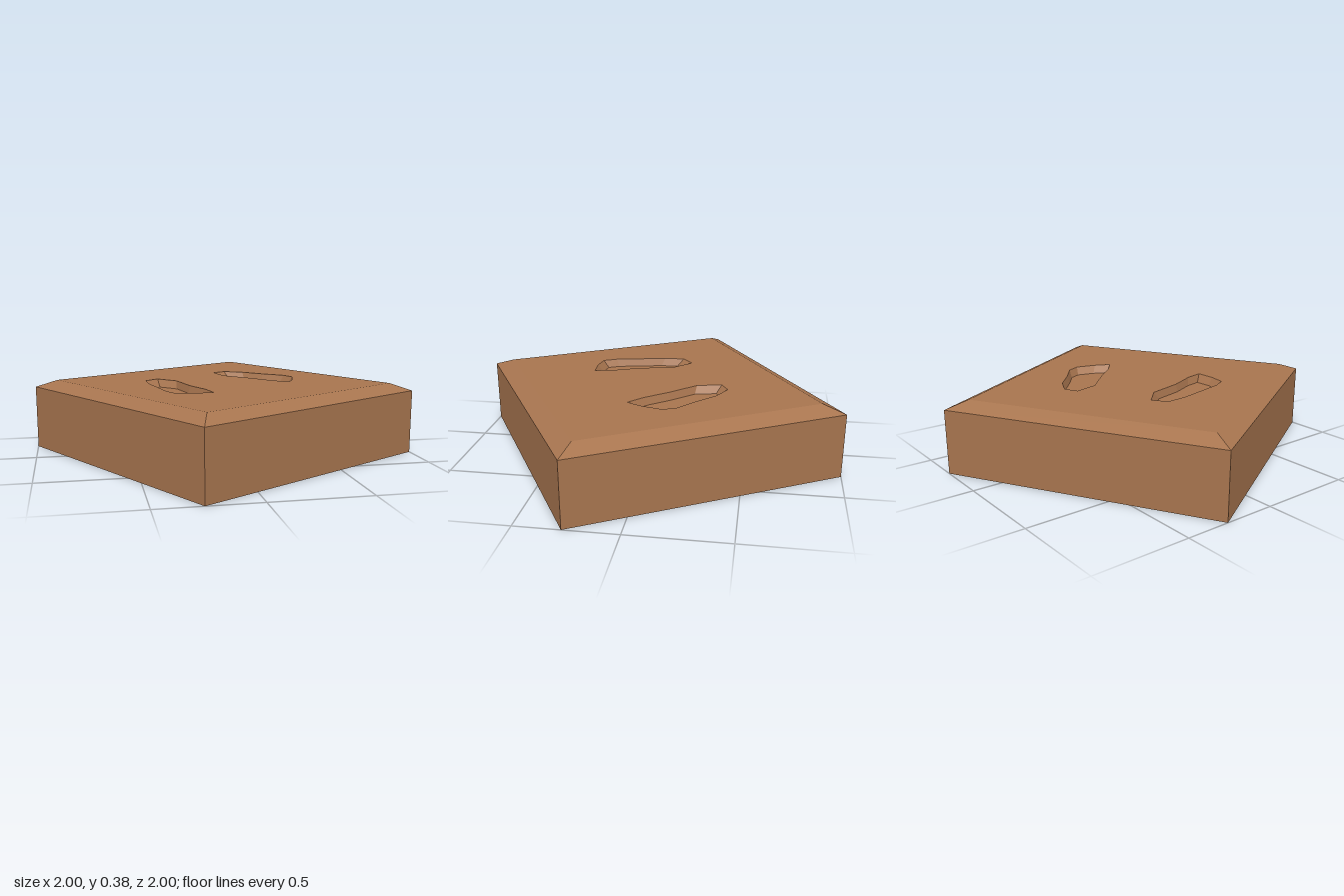
import * as THREE from 'three';

const WALL = 0.34, TOP = 0.38, DEPTH = 0.04;
const RADIUS = Math.hypot(1, 0.27), TURN = Math.atan2(-0.27, 1), INSET = 0.88;

// Footprint outlines as [x, z]
const PRINTS = {
  rightFootprint: [[-0.4, -0.11], [-0.33, -0.165], [-0.235, -0.07], [-0.19, 0.12], [-0.13, 0.26],
    [-0.11, 0.36], [-0.21, 0.365], [-0.3, 0.35], [-0.335, 0.28], [-0.395, 0]],
  leftFootprint: [[0.03, -0.365], [0.1, -0.4], [0.2, -0.35], [0.3, -0.255], [0.405, -0.17],
    [0.435, -0.1], [0.405, 0.005], [0.365, 0.085], [0.285, 0.015], [0.19, -0.1], [0.06, -0.235]],
};

const outline = (pts) => pts.map(([x, z]) => new THREE.Vector2(x, -z));

function shrink(pts, s) {
  const cx = pts.reduce((a, p) => a + p[0], 0) / pts.length;
  const cz = pts.reduce((a, p) => a + p[1], 0) / pts.length;
  return pts.map(([x, z]) => [cx + (x - cx) * s, cz + (z - cz) * s]);
}

// Horizontal flat face at height y
function flat(shape, y) {
  return new THREE.ShapeGeometry(shape).rotateX(-Math.PI / 2).translate(0, y, 0);
}

// Sloping strip joining two outlines
function strip(upper, lower, yUpper, yLower) {
  const v = [];
  upper.forEach((a, i) => {
    const j = (i + 1) % upper.length;
    const b = upper[j], c = lower[i], d = lower[j];
    const A = [a[0], yUpper, a[1]], B = [b[0], yUpper, b[1]];
    const C = [c[0], yLower, c[1]], D = [d[0], yLower, d[1]];
    v.push(...A, ...B, ...C, ...B, ...D, ...C);
  });
  const g = new THREE.BufferGeometry();
  g.setAttribute('position', new THREE.Float32BufferAttribute(v, 3));
  g.computeVertexNormals();
  return g;
}

export function createModel() {
  const clay = new THREE.MeshStandardMaterial({ color: 0xa8754f, flatShading: true, side: THREE.DoubleSide });
  clay.name = 'brown clay';
  const model = new THREE.Group();
  model.name = 'footprintBlock';
  const add = (name, geometry) => {
    const mesh = new THREE.Mesh(geometry, clay);
    mesh.name = name;
    model.add(mesh);
  };

  // Turned square sides, open underneath, and the sloping rim
  add('sideWalls', new THREE.CylinderGeometry(RADIUS, RADIUS, WALL, 4, 1, true, TURN).translate(0, WALL / 2, 0));
  add('bevelledRim', new THREE.CylinderGeometry(RADIUS * INSET, RADIUS, TOP - WALL, 4, 1, true, TURN)
    .translate(0, (WALL + TOP) / 2, 0));

  // Top face with the two prints cut out
  const corners = [[0.27, -1], [1, 0.27], [-0.27, 1], [-1, -0.27]].map(([x, z]) => [x * INSET, z * INSET]);
  const top = new THREE.Shape(outline(corners));
  for (const pts of Object.values(PRINTS)) top.holes.push(new THREE.Path(outline(pts)));
  add('topFace', flat(top, TOP));

  // Sunken footprints
  for (const [name, pts] of Object.entries(PRINTS)) {
    const floor = shrink(pts, 0.86);
    add(name + 'Walls', strip(pts, floor, TOP, TOP - DEPTH));
    add(name + 'Floor', flat(new THREE.Shape(outline(floor)), TOP - DEPTH));
  }
  return model;
}
